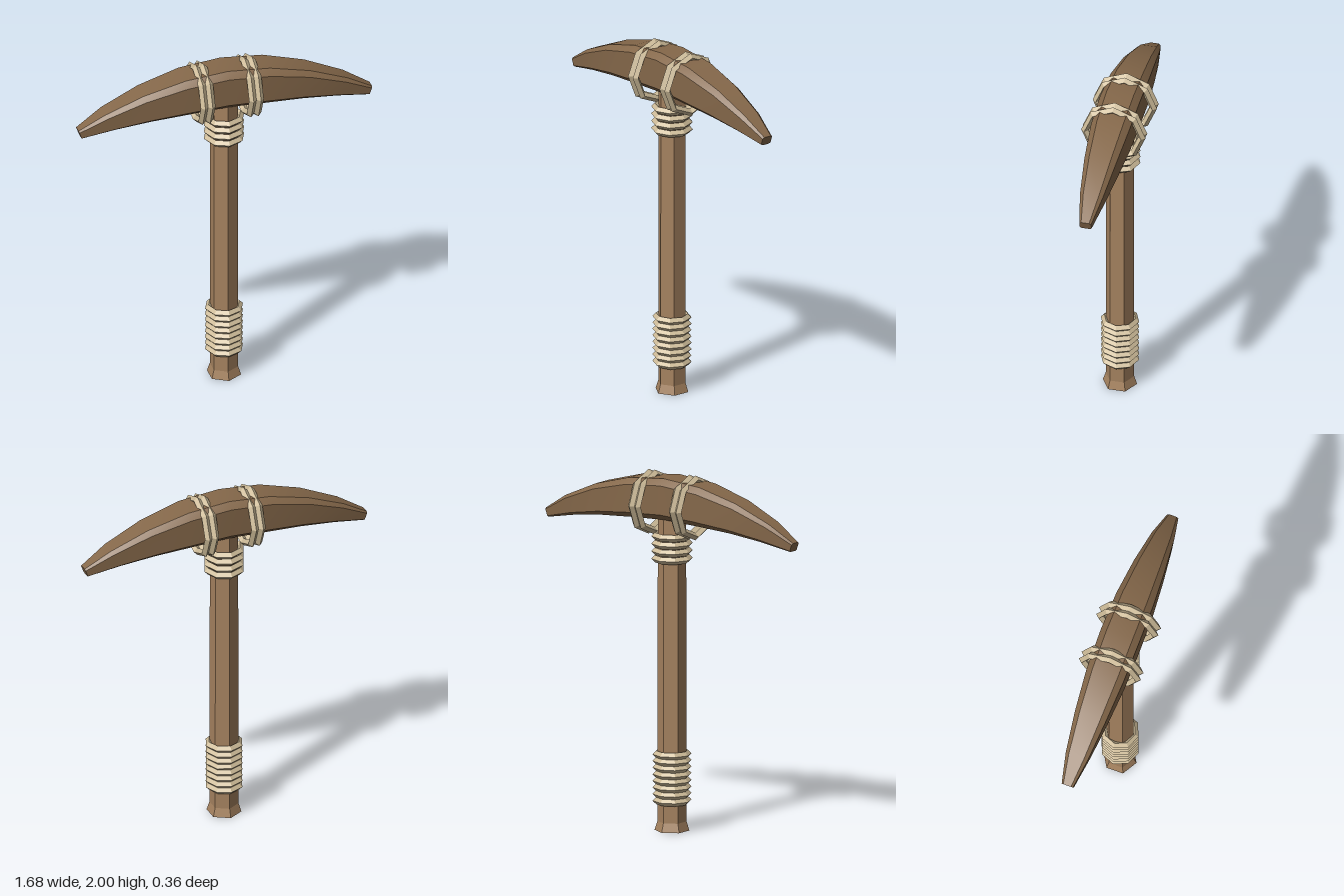
import * as THREE from 'three';
import { toCreasedNormals } from 'three/addons/utils/BufferGeometryUtils.js';

const material = (name, color, flatShading = false) => {
  const m = new THREE.MeshStandardMaterial({ color, flatShading });
  m.name = name;
  return m;
};

function add(parent, name, geometry, mat) {
  const mesh = new THREE.Mesh(geometry, mat);
  mesh.name = name;
  parent.add(mesh);
  return mesh;
}

// Curved head lofted from chamfered sections, each [topX, topY, bottomX, bottomY, halfDepth]
function headGeometry() {
  const half = [
    [0.24, 1.954, 0.22, 1.736, 0.108],
    [0.475, 1.89, 0.435, 1.72, 0.09],
    [0.69, 1.797, 0.635, 1.693, 0.065],
    [0.838, 1.706, 0.82, 1.656, 0.033],
  ];
  const mirrored = half.map(([a, b, c, d, e]) => [-a, b, -c, d, e]).reverse();
  const stations = [...mirrored, [0, 1.976, 0, 1.746, 0.112], ...half];
  // Section corners as [height fraction, depth fraction]
  const section = [[1, 0.68], [0.85, 1], [0.14, 1], [0, 0.68], [0, -0.68], [0.14, -1], [0.85, -1], [1, -0.68]];
  const n = section.length, positions = [], index = [];
  for (const [tx, ty, bx, by, d] of stations)
    for (const [h, w] of section)
      positions.push(bx + (tx - bx) * h, by + (ty - by) * h, d * w);
  for (let s = 0; s < stations.length - 1; s++)
    for (let i = 0; i < n; i++) {
      const a = s * n + i, b = s * n + (i + 1) % n;
      index.push(a, b, a + n, b, b + n, a + n);
    }
  // Blunt end caps
  const last = (stations.length - 1) * n;
  for (let i = 1; i < n - 1; i++) {
    index.push(0, i + 1, i);
    index.push(last, last + i, last + i + 1);
  }
  const g = new THREE.BufferGeometry();
  g.setAttribute('position', new THREE.Float32BufferAttribute(positions, 3));
  g.setIndex(index);
  return toCreasedNormals(g, 0.45);
}

export function createModel() {
  const shaftWood = material('shaft wood', 0xa5825f, true);
  const headWood = material('head wood', 0x85684a);
  const rope = material('rope', 0xcdbb98, true);
  const model = new THREE.Group();
  model.name = 'pickaxe';

  // Hexagonal shaft with a flared foot
  const handle = new THREE.Group();
  handle.name = 'handle';
  model.add(handle);
  const shaft = new THREE.CylinderGeometry(0.078, 0.08, 1.79, 6, 1, true);
  add(handle, 'shaft', shaft, shaftWood).position.y = 0.945;
  const foot = new THREE.CylinderGeometry(0.08, 0.096, 0.05, 6);
  add(handle, 'foot', foot, shaftWood).position.y = 0.025;

  add(model, 'head', headGeometry(), headWood);

  // Rope wraps around the shaft
  const wrap = (name, count, bottom, step, radius) => {
    const group = new THREE.Group();
    group.name = name;
    model.add(group);
    const ring = new THREE.TorusGeometry(radius, 0.02, 4, 8).rotateX(Math.PI / 2);
    for (let i = 0; i < count; i++) add(group, 'ropeRing', ring, rope).position.y = bottom + i * step;
  };
  wrap('gripWrap', 8, 0.168, 0.037, 0.088);
  wrap('neckWrap', 4, 1.52, 0.042, 0.095);

  // Paired rope loops binding the head
  const loops = new THREE.Group();
  loops.name = 'headLoops';
  model.add(loops);
  const loop = new THREE.TorusGeometry(0.16, 0.021, 4, 8).rotateY(Math.PI / 2);
  for (const x of [-0.159, -0.117, 0.117, 0.159]) add(loops, 'ropeLoop', loop, rope).position.set(x, 1.819, 0);

  return model;
}
